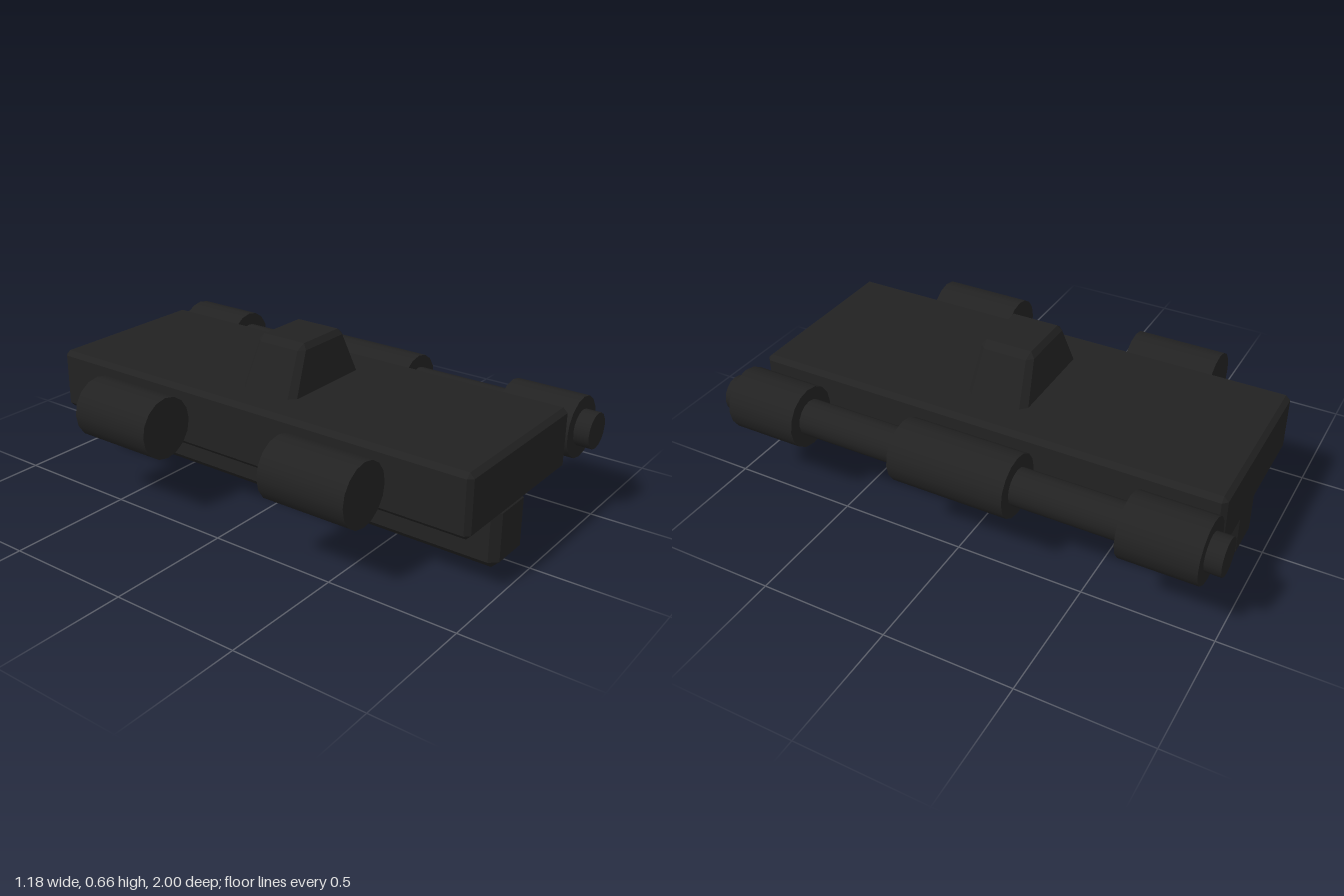
import * as THREE from 'three';
import { ConvexGeometry } from 'three/addons/geometries/ConvexGeometry.js';

const black = new THREE.MeshStandardMaterial({ color: 0x222222 });
black.name = 'matte black';

// Convex block from stacked octagonal layers: [y, halfX, halfZ, corner cut]
function layeredBlock(layers) {
  const points = [];
  for (const [y, hx, hz, cut] of layers) {
    for (const sx of [-1, 1]) for (const sz of [-1, 1]) {
      points.push(new THREE.Vector3(sx * (hx - cut), y, sz * hz));
      points.push(new THREE.Vector3(sx * hx, y, sz * (hz - cut)));
    }
  }
  return new ConvexGeometry(points);
}

// Box with every edge chamfered by c
function chamferBox(hx, y0, y1, hz, c) {
  const e = c * 0.01;
  return layeredBlock([
    [y0, hx - c, hz - c, e], [y0 + c, hx, hz, c],
    [y1 - c, hx, hz, c], [y1, hx - c, hz - c, e],
  ]);
}

export function createModel() {
  const group = new THREE.Group();
  const add = (name, geometry, x = 0, y = 0, z = 0) => {
    const mesh = new THREE.Mesh(geometry, black);
    mesh.name = name;
    mesh.position.set(x, y, z);
    group.add(mesh);
  };
  // Round bar lying along z
  const bar = (name, x, r, z0, z1) => {
    const geometry = new THREE.CylinderGeometry(r, r, z1 - z0, 16).rotateX(Math.PI / 2);
    add(name, geometry, x, 0.355, (z0 + z1) / 2);
  };

  // Main slab and the rail beneath it
  add('body', chamferBox(0.35, 0.235, 0.475, 0.94, 0.018));
  add('lowerRail', chamferBox(0.105, 0, 0.25, 0.92, 0.03));

  // Shallow pads under the slab
  for (const z of [-0.603, 0.603]) {
    add('underPad', chamferBox(0.263, 0.19, 0.243, 0.185, 0.014), 0, 0, z);
  }

  // Tapered knob on top
  add('topKnob', layeredBlock([
    [0.465, 0.216, 0.125, 0.025],
    [0.638, 0.135, 0.108, 0.022],
    [0.66, 0.104, 0.092, 0.001],
  ]));

  // Long rod with three sleeves on the left side
  bar('sideRod', 0.47, 0.07, -1, 1);
  for (const [z0, z1] of [[-0.94, -0.65], [-0.232, 0.232], [0.65, 0.94]]) {
    bar('rodSleeve', 0.47, 0.12, z0, z1);
  }

  // Two short cylinders on the right side
  for (const [z0, z1] of [[-0.617, -0.263], [0.263, 0.617]]) {
    bar('sideCylinder', -0.47, 0.12, z0, z1);
  }

  return group;
}
